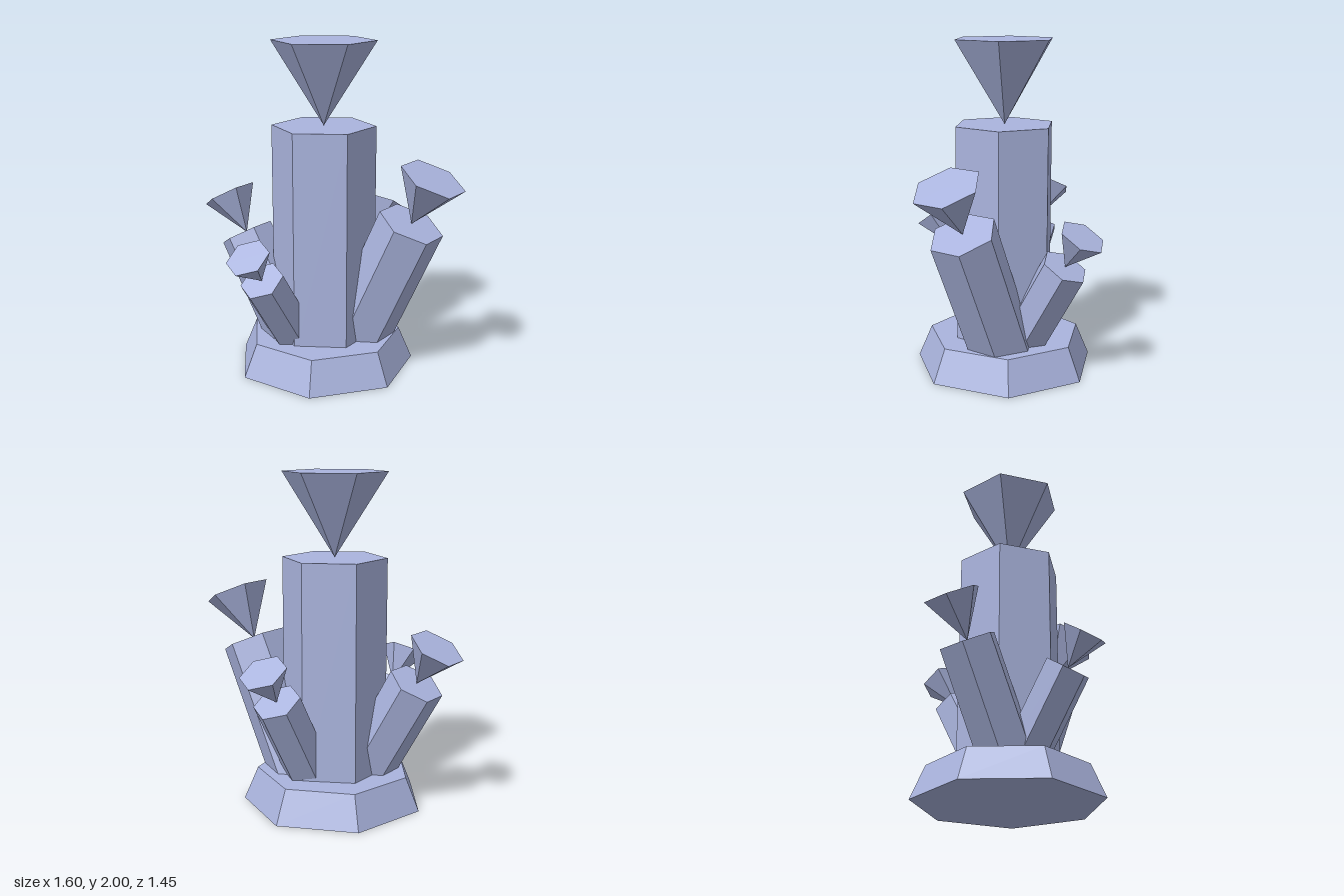
import * as THREE from 'three';

const rad = THREE.MathUtils.degToRad;

export function createModel() {
  const model = new THREE.Group();
  model.name = 'crystalCluster';

  const crystal = new THREE.MeshStandardMaterial({ color: 0xaab4de, flatShading: true });
  crystal.name = 'paleBlueCrystal';

  // Seven-sided tapered rock base
  const base = new THREE.Mesh(new THREE.CylinderGeometry(0.47, 0.555, 0.2, 7), crystal);
  base.name = 'base';
  base.position.set(-0.04, 0.1, -0.01);
  base.rotation.y = Math.PI;
  model.add(base);

  // Hexagonal column with an upside-down point balanced on the middle of its top
  function addCrystal(name, radius, top, tiltX, tiltZ) {
    const group = new THREE.Group();
    group.name = name;
    group.position.set(...top);
    group.rotation.set(rad(tiltX), 0, rad(tiltZ));

    // The column runs down until its foot is buried in the base
    const length = (top[1] - 0.12) / Math.cos(rad(tiltX + tiltZ));
    const column = new THREE.Mesh(
      new THREE.CylinderGeometry(radius, radius, length, 6).translate(0, -length / 2, 0), crystal);
    column.name = name + 'Column';

    const height = radius * 1.6;
    const point = new THREE.Mesh(
      new THREE.CylinderGeometry(radius, 0, height, 6).translate(0, height / 2, 0), crystal);
    point.name = name + 'Point';

    group.add(column, point);
    model.add(group);
  }

  addCrystal('mainCrystal', 0.3125, [-0.04, 1.5, -0.007], 0, 0);
  addCrystal('leftCrystal', 0.2, [0.505, 0.957, -0.12], 0, -25);
  addCrystal('rightCrystal', 0.167, [-0.542, 0.787, 0.123], 0, 30);
  addCrystal('frontCrystal', 0.133, [-0.13, 0.656, 0.494], 35, 0);
  addCrystal('backCrystal', 0.143, [0.015, 0.715, -0.483], -30, 0);

  return model;
}
